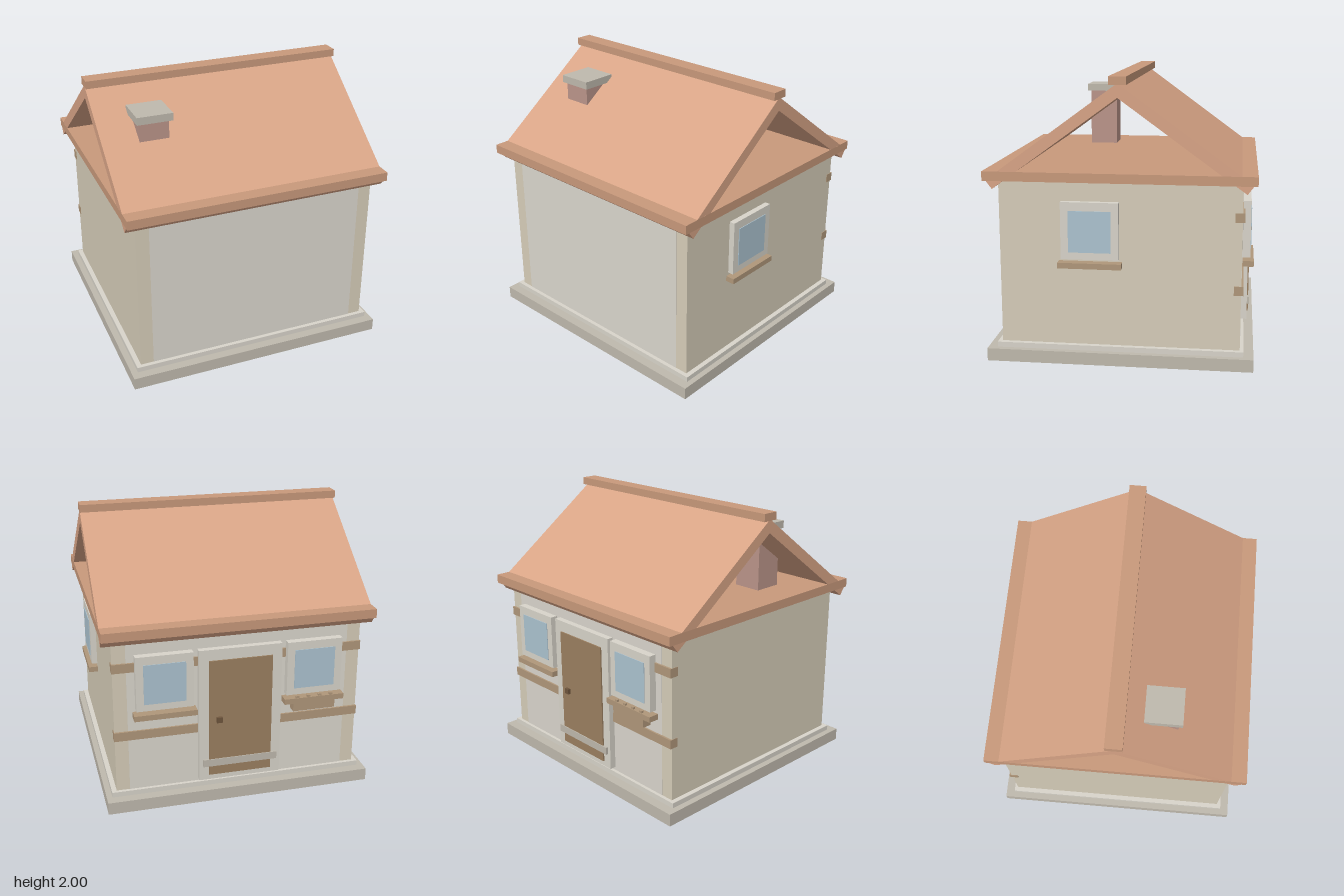
import * as THREE from 'three';

const mat = (color) => new THREE.MeshStandardMaterial({ color });
const mats = {
  stone: mat(0xbfb9ad),
  wall: mat(0xd6cdb9),
  plaster: mat(0xdad6cd),
  frame: mat(0xd8d4ca),
  roof: mat(0xd8a486),
  trim: mat(0xc8997b),
  timber: mat(0xb0977a),
  door: mat(0x9b7f60),
  handle: mat(0x6e553d),
  glass: mat(0xacc3d0),
  brick: mat(0xbb958a),
};

// Box given by its minimum and maximum corners
function box(parent, name, material, [x0, y0, z0], [x1, y1, z1]) {
  const mesh = new THREE.Mesh(new THREE.BoxGeometry(x1 - x0, y1 - y0, z1 - z0), material);
  mesh.position.set((x0 + x1) / 2, (y0 + y1) / 2, (z0 + z1) / 2);
  mesh.name = name;
  parent.add(mesh);
  return mesh;
}

// Window facing +z, its back on z = 0, centred on x = 0
function makeWindow(name) {
  const g = new THREE.Group();
  g.name = name;
  box(g, 'windowFrame', mats.frame, [-0.2, 0.75, -0.01], [0.2, 1.15, 0.043]);
  box(g, 'windowPane', mats.glass, [-0.147, 0.8, 0], [0.147, 1.09, 0.048]);
  box(g, 'windowSill', mats.timber, [-0.22, 0.69, -0.01], [0.22, 0.73, 0.068]);
  return g;
}

export function createModel() {
  const house = new THREE.Group();
  house.name = 'cottage';

  // Foundation and walls
  box(house, 'foundation', mats.stone, [-0.965, 0, -0.93], [0.96, 0.09, 0.93]);
  box(house, 'plinth', mats.frame, [-0.92, 0.09, -0.86], [0.92, 0.127, 0.865]);
  box(house, 'walls', mats.wall, [-0.885, 0.12, -0.835], [0.885, 1.3, 0.835]);
  box(house, 'frontPlaster', mats.plaster, [-0.79, 0.127, 0.8], [0.79, 1.29, 0.837]);
  box(house, 'backPlaster', mats.plaster, [-0.79, 0.127, -0.837], [0.79, 1.29, -0.8]);

  // Ceiling slab and ridge cap
  box(house, 'ceilingSlab', mats.trim, [-0.963, 1.29, -0.93], [0.958, 1.355, 0.93]);
  box(house, 'ridgeCap', mats.trim, [-0.965, 1.945, -0.06], [0.96, 2, 0.06]);

  // Pitched roof slopes, mirrored front to back
  for (const side of [1, -1]) {
    const slope = new THREE.Shape([
      [0, 1.86], [0.86, 1.235], [0.905, 1.295], [0, 1.955],
    ].map(([z, y]) => new THREE.Vector2(-z * side, y)));
    const geo = new THREE.ExtrudeGeometry(slope, { depth: 1.92, bevelEnabled: false });
    geo.translate(0, 0, -0.9625).rotateY(Math.PI / 2);
    const mesh = new THREE.Mesh(geo, mats.roof);
    mesh.name = side > 0 ? 'frontRoofSlope' : 'backRoofSlope';
    house.add(mesh);
  }

  // Chimney
  box(house, 'chimneyStack', mats.brick, [-0.703, 1.29, 0.205], [-0.49, 1.785, 0.417]);
  box(house, 'chimneyCap', mats.stone, [-0.725, 1.785, 0.18], [-0.465, 1.84, 0.44]);

  // Horizontal timbers across the back wall
  for (const y of [0.52, 1.03]) {
    box(house, 'wallTimber', mats.timber, [-0.889, y, -0.85], [0.889, y + 0.065, -0.785]);
  }

  // Windows: one on the left side, two on the back
  const sideWindow = makeWindow('sideWindow');
  sideWindow.rotation.y = Math.PI / 2;
  sideWindow.position.set(0.883, 0, 0.2);
  house.add(sideWindow);
  for (const x of [0.535, -0.535]) {
    const backWindow = makeWindow('backWindow');
    backWindow.rotation.y = Math.PI;
    backWindow.position.set(x, 0, -0.849);
    house.add(backWindow);
  }

  // Planter under one back window, with small plants
  box(house, 'planter', mats.timber, [-0.69, 0.63, -0.914], [-0.38, 0.69, -0.85]);
  for (let i = 0; i < 4; i++) {
    const x = -0.66 + i * 0.083;
    box(house, 'plant', mats.timber, [x - 0.012, 0.69, -0.913], [x + 0.012, 0.745, -0.895]);
  }

  // Back door
  box(house, 'doorFrame', mats.frame, [-0.297, 0.15, -0.882], [0.297, 1.15, -0.82]);
  box(house, 'doorLeaf', mats.door, [-0.227, 0.19, -0.892], [0.227, 1.07, -0.85]);
  box(house, 'doorHandle', mats.handle, [0.135, 0.605, -0.912], [0.175, 0.645, -0.885]);
  box(house, 'doorBar', mats.stone, [-0.27, 0.26, -0.898], [0.27, 0.315, -0.87]);

  return house;
}
